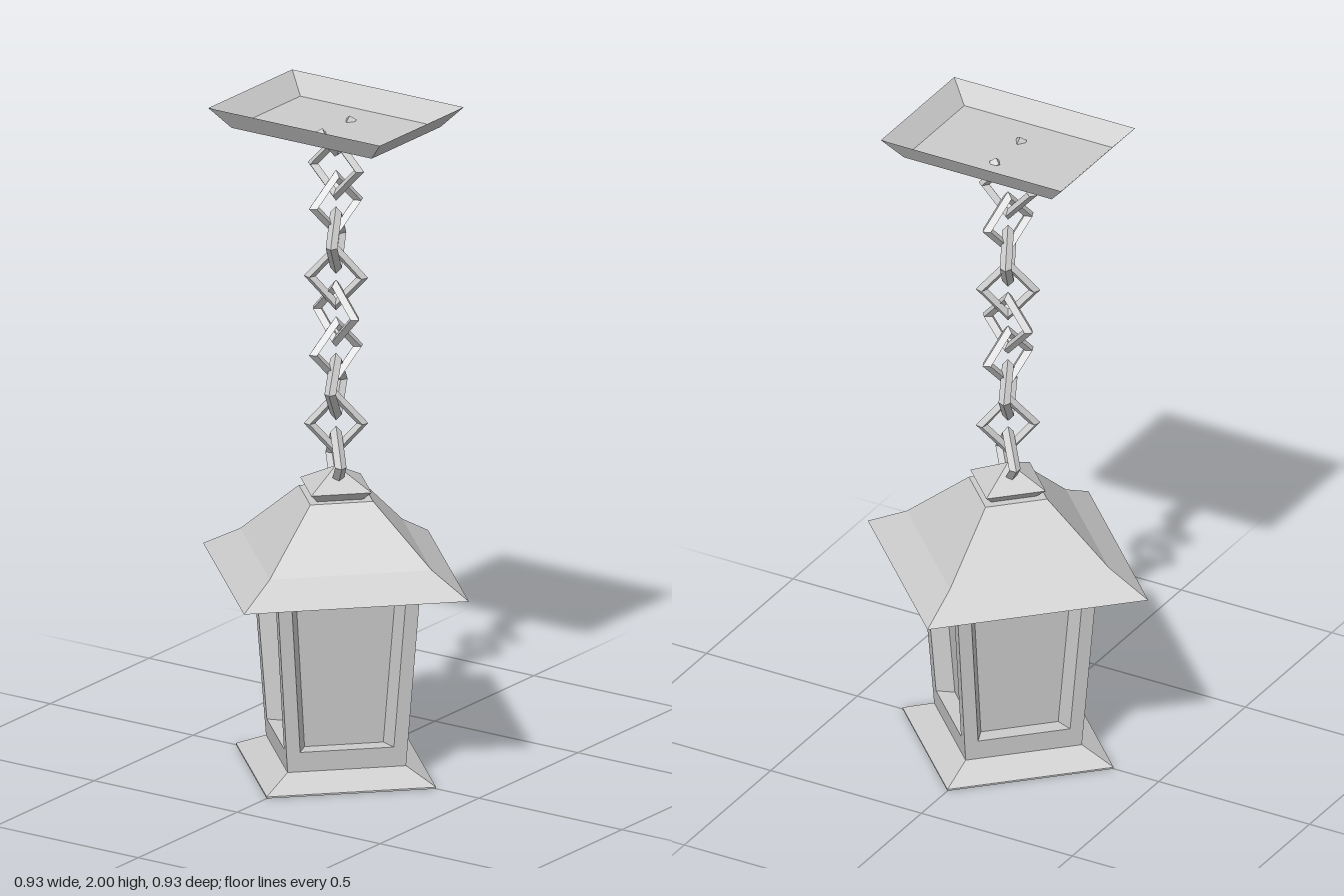
import * as THREE from 'three';

const grey = new THREE.MeshStandardMaterial({ color: 0xcccccc, flatShading: true });
const greyThin = new THREE.MeshStandardMaterial({ color: 0xcccccc, flatShading: true, side: THREE.DoubleSide });

// Skin a stack of four-cornered loops, optionally closing either end
function loft(loops, closeStart, closeEnd) {
  const pos = [];
  const quad = (a, b, c, d) => [a, b, c, a, c, d].forEach((p) => pos.push(...p));
  for (let k = 0; k + 1 < loops.length; k++) {
    for (let i = 0; i < 4; i++) {
      const j = (i + 1) % 4;
      quad(loops[k][i], loops[k][j], loops[k + 1][j], loops[k + 1][i]);
    }
  }
  if (closeStart) quad(...[...loops[0]].reverse());
  if (closeEnd) quad(...loops[loops.length - 1]);
  const g = new THREE.BufferGeometry();
  g.setAttribute('position', new THREE.Float32BufferAttribute(pos, 3));
  g.computeVertexNormals();
  return g;
}

// Horizontal loops: a diamond with corners on the axes, and a rectangle
const diamond = (r, y) => [[r, y, 0], [0, y, -r], [-r, y, 0], [0, y, r]];
const rect = (x, z, y) => [[x, y, z], [x, y, -z], [-x, y, -z], [-x, y, z]];

export function createModel() {
  const model = new THREE.Group();
  const add = (name, geometry, material = grey, parent = model) => {
    const mesh = new THREE.Mesh(geometry, material);
    mesh.name = name;
    parent.add(mesh);
    return mesh;
  };

  // Foot, hollow roof and finial cap
  add('base', loft([diamond(0.35, 0), diamond(0.35, 0.005), diamond(0.245, 0.05)], true, true));
  add('roof', loft([diamond(0.465, 0.59), diamond(0.335, 0.66), diamond(0.13, 0.83)], false, true), greyThin);
  add('roofCap', loft([diamond(0.095, 0.83), diamond(0.125, 0.855), diamond(0.001, 0.915)], true, false));

  // Four flared walls, each with a recessed pane
  const half = (y) => (0.245 + (0.05 * (y - 0.05)) / 0.54) / Math.SQRT2;
  const wallLoop = (y0, y1, margin, depth) => [[-1, y0], [1, y0], [1, y1], [-1, y1]]
    .map(([s, y]) => [s * (half(y) - margin), y, half(y) - depth]);
  const wall = loft([
    wallLoop(0.05, 0.68, 0, 0),
    wallLoop(0.11, 0.585, 0.04, 0),
    wallLoop(0.11, 0.585, 0.062, 0.05),
  ], false, true);
  const body = new THREE.Group();
  body.name = 'lanternBody';
  model.add(body);
  for (let i = 0; i < 4; i++) {
    add('wallWithPane', wall, greyThin, body).rotation.y = Math.PI / 4 + (i * Math.PI) / 2;
  }

  // Chain of square links, each turned about the vertical
  const chain = new THREE.Group();
  chain.name = 'chain';
  model.add(chain);
  const linkGeometry = new THREE.TorusGeometry(0.076, 0.017, 4, 4).scale(1, 1.1, 1);
  const turns = [5, 68, -65, 28, -10, 68, -68, 35, -45];
  turns.forEach((deg, i) => {
    const link = add('chainLink', linkGeometry, grey, chain);
    link.position.y = 1.82 - i * 0.111;
    link.rotation.y = THREE.MathUtils.degToRad(deg);
  });

  // Forked hook holding the chain
  const hook = new THREE.Group();
  hook.name = 'hook';
  model.add(hook);
  for (const s of [-1, 1]) {
    const from = new THREE.Vector3(0, 1.865, -s * 0.005);
    const to = new THREE.Vector3(0, 1.945, s * 0.08);
    const dir = to.clone().sub(from);
    const rod = add('hookArm', new THREE.CylinderGeometry(0.016, 0.016, dir.length(), 4), grey, hook);
    rod.position.copy(from).add(to).multiplyScalar(0.5);
    rod.quaternion.setFromUnitVectors(new THREE.Vector3(0, 1, 0), dir.normalize());
  }

  // Ceiling plate: a shallow tray open at the top
  add('ceilingPlate', loft([rect(0.245, 0.174, 1.94), rect(0.3, 0.212, 2)], true, false), greyThin);

  return model;
}
